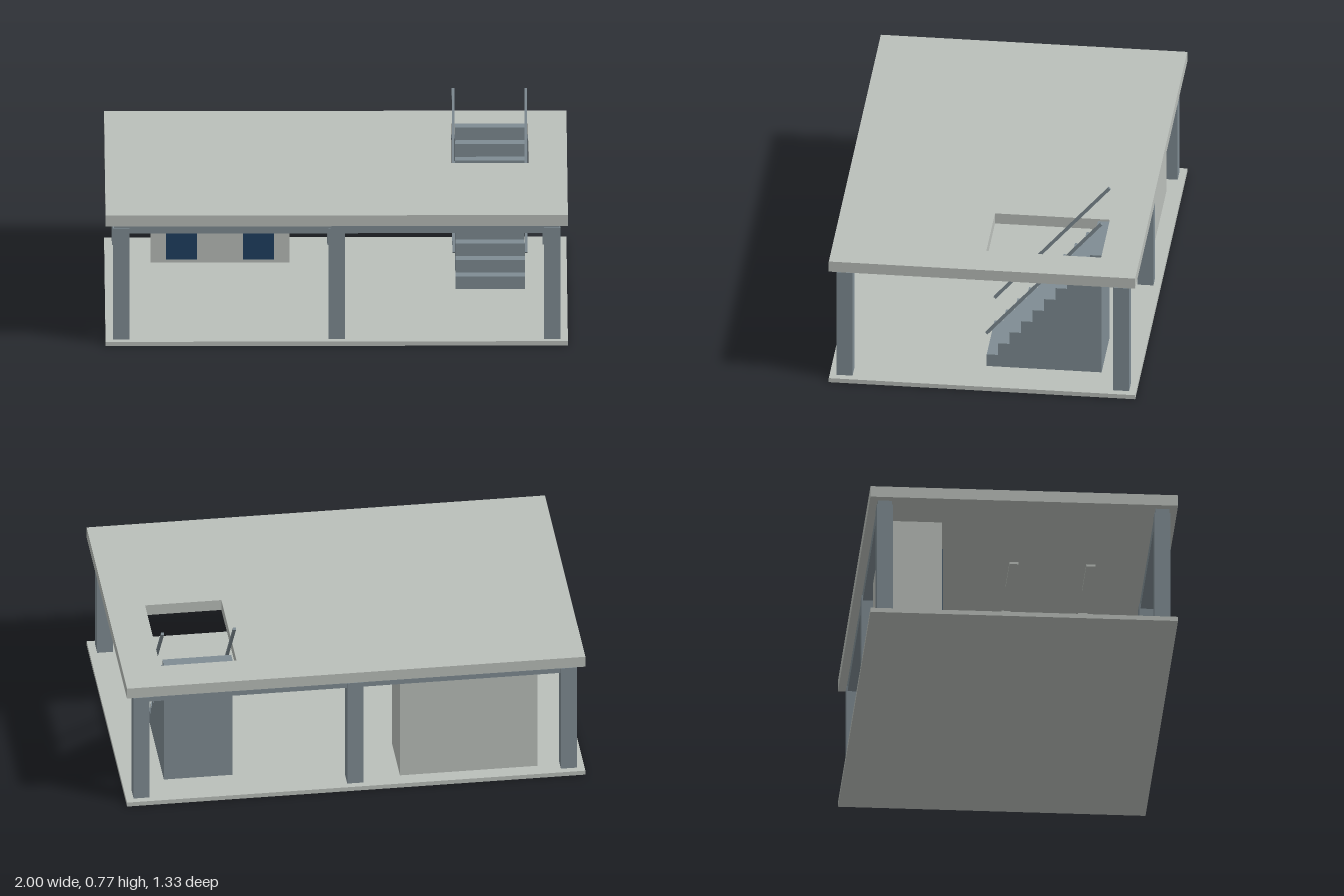
import * as THREE from 'three';

const material = (name, color) => {
  const m = new THREE.MeshStandardMaterial({ color });
  m.name = name;
  return m;
};

export function createModel() {
  const model = new THREE.Group();
  model.name = 'pavilion';
  const concrete = material('concrete', 0xbabfba);
  const steel = material('blueGreySteel', 0x7f8c93);
  const navy = material('navyDoor', 0x1f3f61);

  const add = (name, geometry, mat) => {
    const mesh = new THREE.Mesh(geometry, mat);
    mesh.name = name;
    model.add(mesh);
    return mesh;
  };
  // Box given by its limits on each axis
  const box = (name, mat, [x0, x1], [y0, y1], [z0, z1]) => {
    const mesh = add(name, new THREE.BoxGeometry(x1 - x0, y1 - y0, z1 - z0), mat);
    mesh.position.set((x0 + x1) / 2, (y0 + y1) / 2, (z0 + z1) / 2);
    return mesh;
  };
  const around = (c, width) => [c - width / 2, c + width / 2];

  // Floor slab
  box('floorSlab', concrete, [-1, 1], [0, 0.02], [-0.667, 0.667]);

  // Roof slab with the stair opening
  const roof = new THREE.Shape([[-1, -0.667], [1, -0.667], [1, 0.667], [-1, 0.667]].map(p => new THREE.Vector2(...p)));
  roof.holes.push(new THREE.Path([[0.5, 0], [0.5, 0.5], [0.833, 0.5], [0.833, 0]].map(p => new THREE.Vector2(...p))));
  const roofGeometry = new THREE.ExtrudeGeometry(roof, { depth: 0.05, bevelEnabled: false });
  roofGeometry.rotateX(-Math.PI / 2);
  add('roofSlab', roofGeometry, concrete).position.y = 0.55;

  // Columns and beams along the front and back
  for (const z of [-0.602, 0.602]) {
    for (const x of [-0.932, 0, 0.932]) {
      box('column', steel, around(x, 0.07), [0.02, 0.53], around(z, 0.07));
    }
    box('beam', steel, [-0.963, 0.963], [0.505, 0.55], around(z, 0.06));
  }

  // Closed room with two doors
  box('room', concrete, [-0.8, -0.2], [0.02, 0.53], [-0.6, -0.343]);
  for (const x of [-0.667, -0.333]) {
    box('door', navy, around(x, 0.135), [0.037, 0.435], [-0.343, -0.336]);
  }

  // Ceiling lights
  for (const x of [-0.25, 0.25]) {
    for (const z of [-0.333, 0, 0.333]) {
      box('ceilingLight', concrete, around(x, 0.25), [0.54, 0.55], around(z, 0.04));
    }
  }

  // Solid staircase rising towards the back
  const steps = 10, tread = 0.05, rise = 0.058;
  const profile = [new THREE.Vector2(0, 0.02)];
  for (let i = 0; i < steps; i++) {
    const y = 0.02 + rise * (i + 1);
    profile.push(new THREE.Vector2(i * tread, y), new THREE.Vector2((i + 1) * tread, y));
  }
  profile.push(new THREE.Vector2(steps * tread, 0.02));
  const stairs = new THREE.ExtrudeGeometry(new THREE.Shape(profile), { depth: 0.3, bevelEnabled: false });
  stairs.rotateY(Math.PI / 2);
  add('staircase', stairs, steel).position.x = 0.517;

  // Sloping handrails on both sides of the stairs
  for (const side of [-1, 1]) {
    const rail = add('handrail', new THREE.BoxGeometry(0.012, 0.012, Math.hypot(0.5, 0.575)), steel);
    rail.position.set(0.666 + side * 0.157, 0.475, -0.25);
    rail.rotation.x = Math.atan2(0.575, 0.5);
  }

  return model;
}
